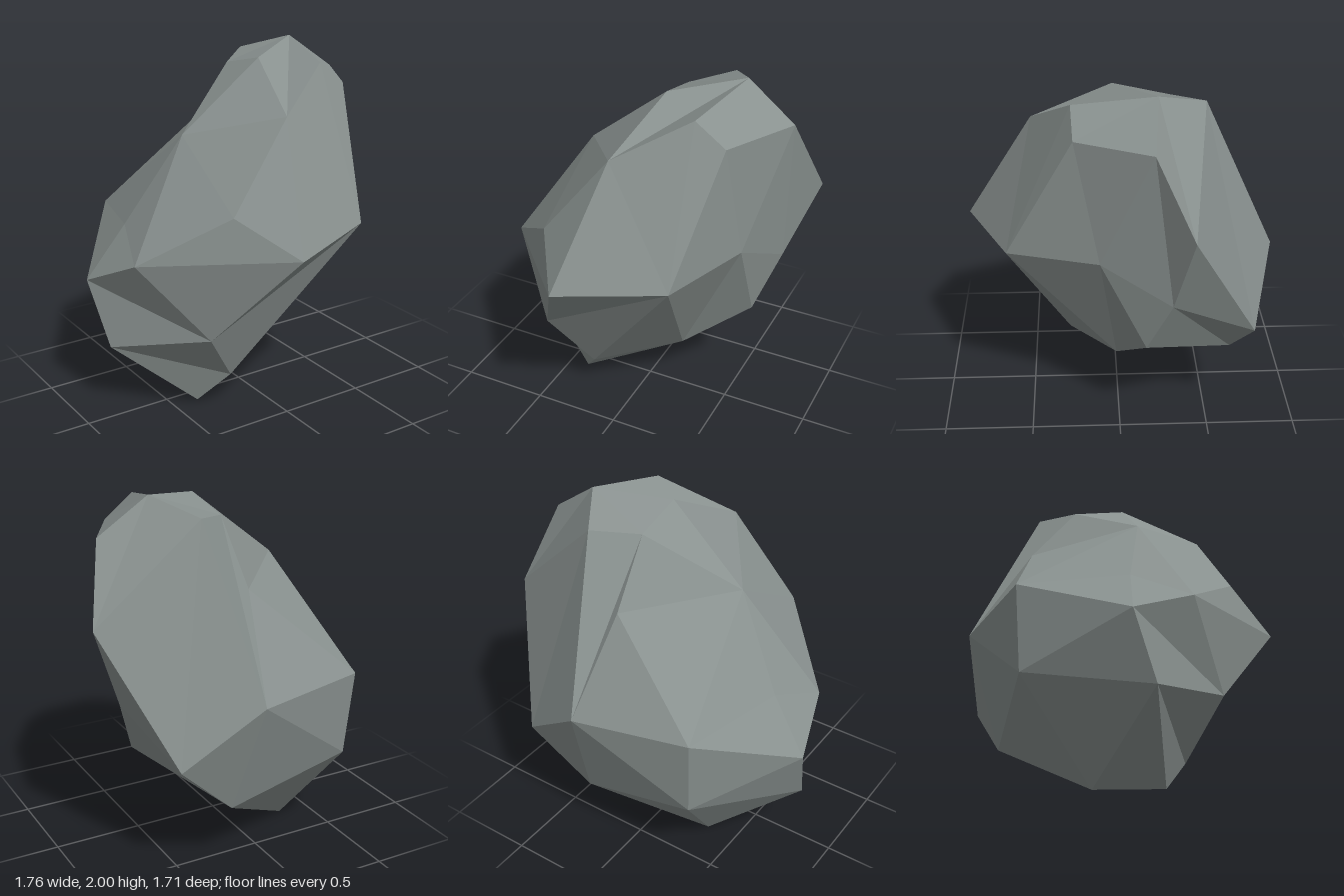
import * as THREE from 'three';

// Corners of the boulder
const corners = {
  // crown
  A: [0.48, 2.0, -0.19], B: [0.76, 1.8, -0.16], L: [0.11, 1.94, 0.03], N: [0.37, 1.92, 0.25],
  O: [0.54, 1.79, 0.24], U: [0.31, 1.91, -0.45], b: [0.1, 1.87, -0.27], M: [-0.01, 1.71, 0.47],
  // shoulders
  C: [0.88, 1.38, -0.36], K: [-0.36, 1.56, -0.01], T: [-0.38, 1.24, 0.53], c: [0.08, 1.53, -0.53],
  // waist
  P: [0.4, 1.09, 0.61], Q: [-0.17, 1.06, 0.85], X: [0.6, 1.12, 0.11], Y: [0.71, 0.92, -0.27],
  V: [0.16, 1.0, -0.86], a: [-0.49, 1.02, -0.71], f: [-0.66, 1.07, -0.14], J: [-0.77, 0.94, 0.17],
  I: [-0.88, 0.77, -0.19], W: [0.58, 0.68, -0.73],
  // foot
  D: [0.59, 0.59, -0.14], R: [-0.46, 0.53, 0.43], e: [-0.46, 0.54, -0.67], H: [-0.82, 0.4, -0.05],
  Z: [0.24, 0.36, -0.65], E: [0.22, 0.32, 0.01], S: [-0.24, 0.21, 0.28],
  G: [-0.37, 0.02, 0.13], F: [-0.32, 0, -0.25],
};

// Facets as fans: hub corner, then its neighbours counter-clockwise from outside
const fans = [
  'AUbLMNOBCU', 'XOPEDYBO', 'WCYZVUC', 'PONMQRSE', 'TKJQMK', 'RQJIHS',
  'GSHFES', 'FHeZDE', 'eHIaVZ', 'faIJKa', 'caKbVa',
  'BYC', 'YDZ', 'LbK', 'LKM', 'UVb',
];

function facetGeometry() {
  const positions = [];
  for (const [hub, ...rim] of fans) {
    for (let i = 0; i + 1 < rim.length; i++) {
      for (const key of [hub, rim[i], rim[i + 1]]) positions.push(...corners[key]);
    }
  }
  const geometry = new THREE.BufferGeometry();
  geometry.setAttribute('position', new THREE.Float32BufferAttribute(positions, 3));
  geometry.computeVertexNormals(); // unshared corners give flat facets
  return geometry;
}

export function createModel() {
  const stone = new THREE.MeshStandardMaterial({ color: 0x89918f, flatShading: true });
  stone.name = 'grey stone';

  const boulder = new THREE.Mesh(facetGeometry(), stone);
  boulder.name = 'boulder';

  const model = new THREE.Group();
  model.name = 'rock';
  model.add(boulder);
  return model;
}
